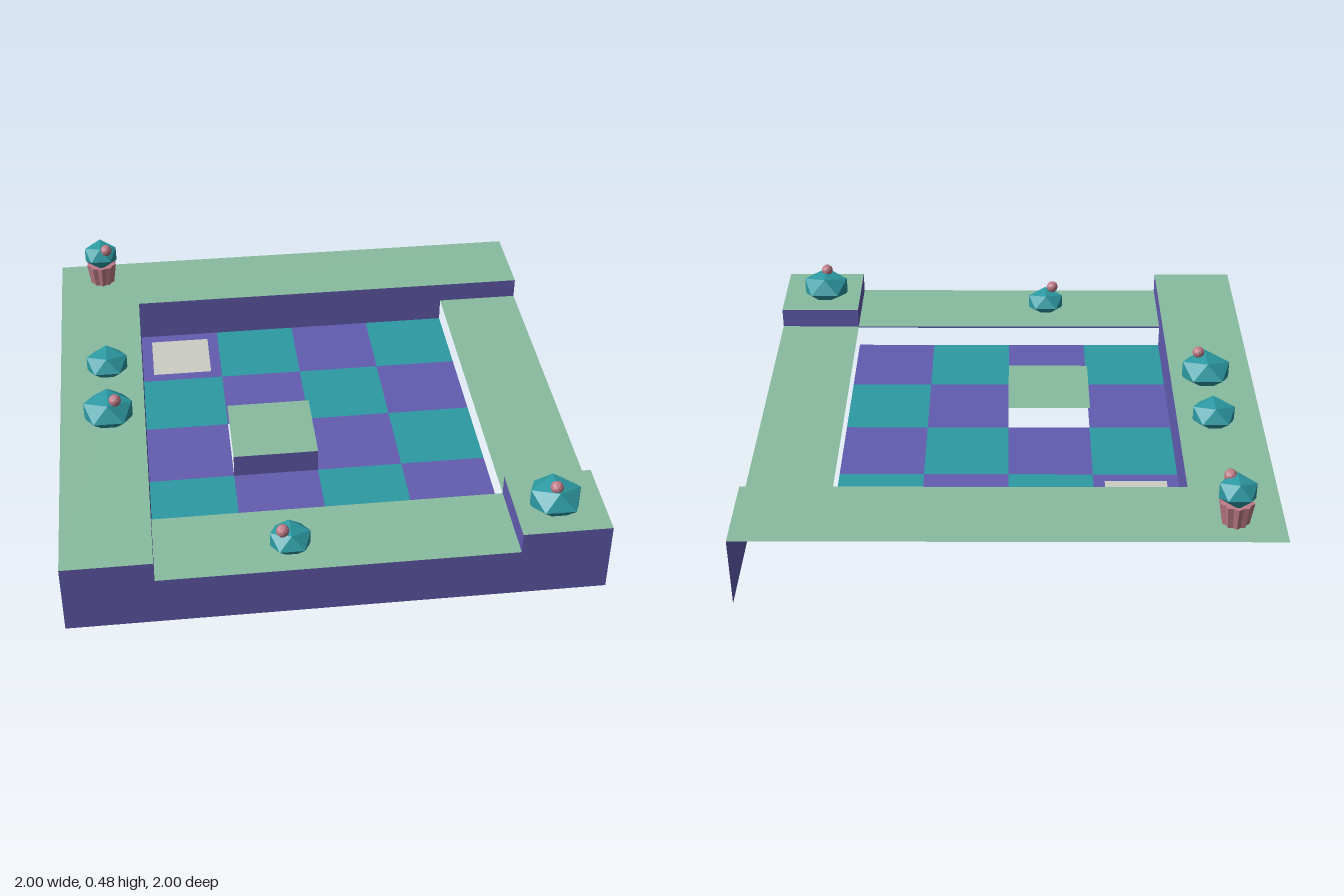
import * as THREE from 'three';

const HIGH = 0.283, LOW = 0.2, FLOOR = 0.105; // terrace heights
const CELL = 1 / 3, IN = 2 / 3;

function material(name, color) {
  const m = new THREE.MeshStandardMaterial({ color, side: THREE.DoubleSide, flatShading: true });
  m.name = name;
  return m;
}

export function createModel() {
  const group = new THREE.Group();
  const green = material('grass green', 0x88bc9f);
  const purple = material('stone purple', 0x625cb0);
  const teal = material('leaf teal', 0x2c9aa2);
  const pale = material('pale grey', 0xcccdc4);
  const pink = material('berry pink', 0xbd7c88);

  function add(name, geometry, mat, parent = group) {
    const mesh = new THREE.Mesh(geometry, mat);
    mesh.name = name;
    parent.add(mesh);
    return mesh;
  }
  // Horizontal sheet spanning x0..x1, z0..z1
  function sheet(name, x0, x1, z0, z1, y, mat) {
    const g = new THREE.PlaneGeometry(x1 - x0, z1 - z0).rotateX(-Math.PI / 2);
    return add(name, g.translate((x0 + x1) / 2, y, (z0 + z1) / 2), mat);
  }
  // Upright sheet facing along x (sign = +1 or -1)
  function wallX(name, x, z0, z1, y0, y1, sign = 1) {
    const g = new THREE.PlaneGeometry(z1 - z0, y1 - y0).rotateY(sign * Math.PI / 2);
    return add(name, g.translate(x, (y0 + y1) / 2, (z0 + z1) / 2), purple);
  }
  // Upright sheet facing along z
  function wallZ(name, z, x0, x1, y0, y1, sign = 1) {
    const g = new THREE.PlaneGeometry(x1 - x0, y1 - y0).rotateY(sign > 0 ? 0 : Math.PI);
    return add(name, g.translate((x0 + x1) / 2, (y0 + y1) / 2, z), purple);
  }

  // Terrace tops
  sheet('backLedge', -1, 1, -1, -IN, HIGH, green);
  sheet('rightLedge', -1, -IN, -IN, 1, HIGH, green);
  sheet('leftLedge', IN, 1, -IN, IN, LOW, green);
  sheet('frontLedge', -IN, IN, IN, 1, LOW, green);
  sheet('cornerLedge', IN, 1, IN, 1, HIGH, green);

  // Outer walls, notched where the ledges are lower
  const profile = new THREE.Shape([
    [-1, 0], [1, 0], [1, HIGH], [IN, HIGH], [IN, LOW], [-IN, LOW], [-IN, HIGH], [-1, HIGH],
  ].map(([x, y]) => new THREE.Vector2(x, y)));
  add('frontOuterWall', new THREE.ShapeGeometry(profile).translate(0, 0, 1), purple);
  add('leftOuterWall', new THREE.ShapeGeometry(profile).rotateY(Math.PI / 2).translate(1, 0, 0), purple);

  // Inner walls and steps between ledges
  wallZ('backInnerWall', -IN, -IN, IN, FLOOR, HIGH);
  wallZ('backStep', -IN, IN, 1, LOW, HIGH);
  wallX('rightInnerWall', -IN, -IN, IN, FLOOR, HIGH);
  wallX('rightStep', -IN, IN, 1, LOW, HIGH);
  wallX('cornerStepSide', IN, IN, 1, LOW, HIGH, -1);
  wallZ('cornerStepBack', IN, IN, 1, LOW, HIGH, -1);

  // Checkered floor with an inlaid pale tile and a raised block
  for (let row = 0; row < 4; row++) {
    for (let col = 0; col < 4; col++) {
      const x = -IN + col * CELL, z = -IN + row * CELL;
      if (row === 2 && col === 1) {
        sheet('blockTop', x, x + CELL, z, z + CELL, LOW, green);
        wallX('blockSide', x + CELL, z, z + CELL, FLOOR, LOW);
        wallZ('blockFront', z + CELL, x, x + CELL, FLOOR, LOW);
      } else if (row === 0 && col === 0) {
        const h = CELL / 2, p = 0.122;
        const square = (r) => [[-r, -r], [r, -r], [r, r], [-r, r]].map(([a, b]) => new THREE.Vector2(a, b));
        const frame = new THREE.Shape(square(h));
        frame.holes.push(new THREE.Path(square(p)));
        const g = new THREE.ShapeGeometry(frame).rotateX(-Math.PI / 2).translate(x + h, FLOOR, z + h);
        add('floorTileFrame', g, purple);
        sheet('paleTile', x + h - p, x + h + p, z + h - p, z + h + p, FLOOR, pale);
      } else {
        sheet('floorTile', x, x + CELL, z, z + CELL, FLOOR, (row + col) % 2 ? teal : purple);
      }
    }
  }

  // Squashed bushes, some topped with a berry
  function bush(x, y, z, r, ry, berry) {
    const plant = new THREE.Group();
    plant.name = 'bush';
    const leaves = add('bushLeaves', new THREE.IcosahedronGeometry(1, 0).rotateY(Math.PI / 2), teal, plant);
    leaves.scale.set(r, ry, r * 1.02);
    leaves.position.set(x, y, z);
    if (berry) add('berry', new THREE.IcosahedronGeometry(0.025, 1), pink, plant).position.set(...berry);
    group.add(plant);
  }
  bush(-0.81, HIGH + 0.026, -0.205, 0.096, 0.06, null);
  bush(-0.81, HIGH + 0.03, 0.12, 0.112, 0.07, [-0.78, 0.378, 0.15]);
  bush(0.82, HIGH + 0.03, 0.835, 0.11, 0.07, [0.815, 0.378, 0.862]);
  bush(-0.165, LOW + 0.025, 0.855, 0.088, 0.056, [-0.195, 0.285, 0.88]);
  bush(-0.82, 0.418, -0.875, 0.079, 0.06, [-0.795, 0.458, -0.838]);

  // Pleated pot under the back bush
  const pot = new THREE.CylinderGeometry(0.066, 0.05, 0.105, 20, 1);
  const pos = pot.attributes.position;
  for (let i = 0; i < pos.count; i++) {
    const step = Math.round(Math.atan2(pos.getX(i), pos.getZ(i)) / (Math.PI / 10));
    if (step % 2) pos.setXYZ(i, pos.getX(i) * 0.86, pos.getY(i), pos.getZ(i) * 0.86);
  }
  add('pot', pot, pink).position.set(-0.82, 0.323, -0.875);

  return group;
}
